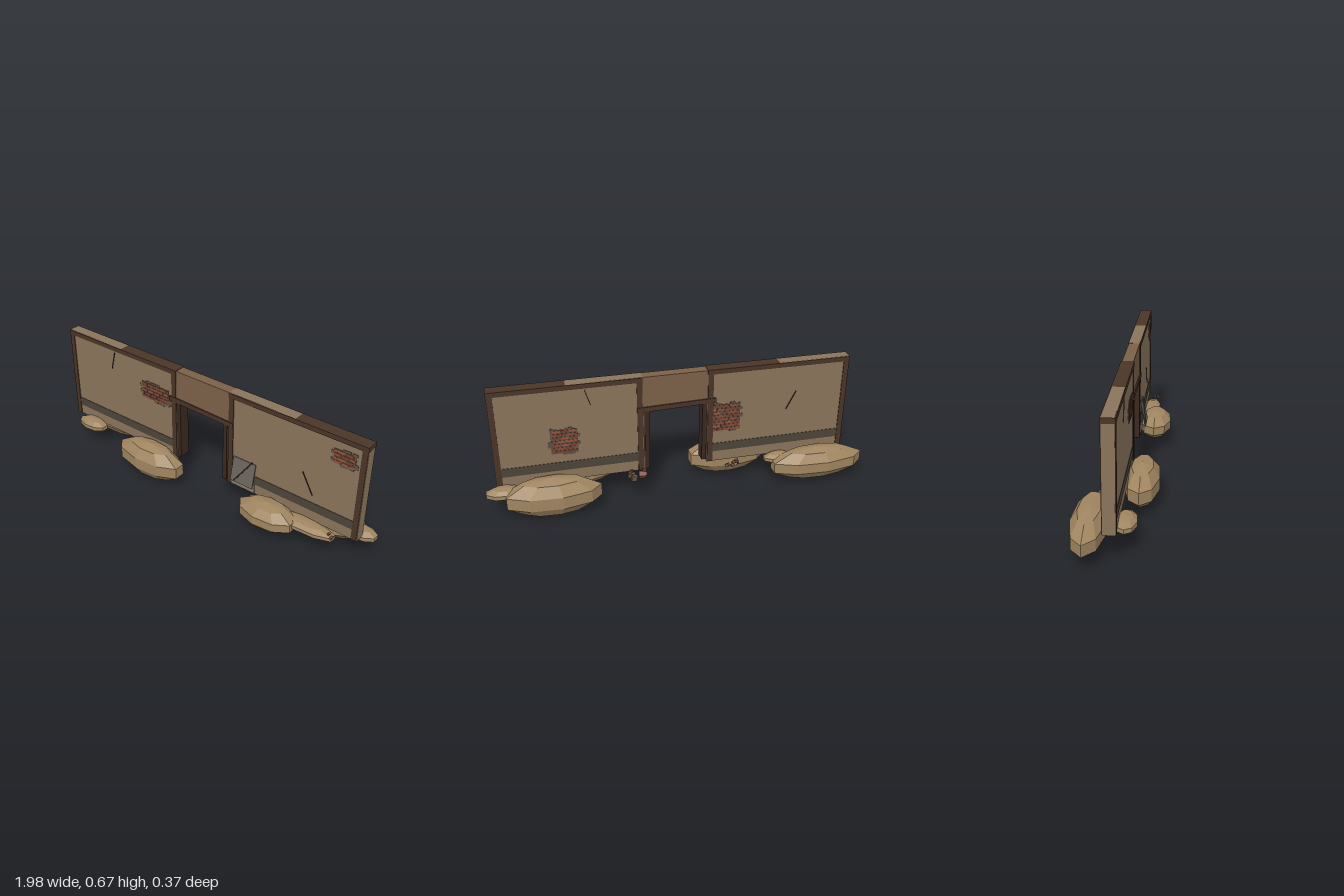
import * as THREE from 'three';

const mat = (color) => new THREE.MeshStandardMaterial({ color, flatShading: true });
const plaster = mat(0x8a745b), lintelMat = mat(0x7b6048), wood = mat(0x4b3528), darkWood = mat(0x3a2820);
const stain = mat(0x4c443a), sand = mat(0xa08560), mortar = mat(0x5c5044), crackMat = mat(0x2b211b);
const metal = mat(0x68635b), paleMetal = mat(0x85796a);
const brickMats = [mat(0x8c4a36), mat(0x7a4030), mat(0x96553e)];
const rubbleMats = [mat(0x6e5643), mat(0x7a4a38)];

let seed = 11;
const rand = () => (seed = (seed * 16807) % 2147483647) / 2147483647;

export function createModel() {
  const model = new THREE.Group();

  function add(name, geometry, material, x, y, z, parent = model) {
    const mesh = new THREE.Mesh(geometry, material);
    mesh.name = name;
    mesh.position.set(x, y, z);
    parent.add(mesh);
    return mesh;
  }
  // Box given by its limits in x and y, centred on z
  function slab(name, material, x0, x1, y0, y1, depth, z = 0, tilt = 0, parent = model) {
    const m = add(name, new THREE.BoxGeometry(x1 - x0, y1 - y0, depth), material, (x0 + x1) / 2, (y0 + y1) / 2, z, parent);
    m.rotation.z = tilt;
    return m;
  }

  // Plaster walls with timber framing and a dark base band
  for (const [side, x0, x1] of [['right', -0.9, -0.146], ['left', 0.186, 0.934]]) {
    slab(side + 'Wall', plaster, x0, x1, 0.142, 0.667, 0.056);
    slab(side + 'BaseBand', stain, x0 + 0.02, x1 - 0.02, 0.2, 0.248, 0.06);
    slab(side + 'TopBeam', wood, x0 - 0.001, x1 + 0.001, 0.642, 0.667, 0.065, 0, 0.004);
    slab(side + 'PostA', wood, x0 + 0.002, x0 + 0.03, 0.144, 0.655, 0.064, 0, 0.002);
    slab(side + 'PostB', wood, x1 - 0.03, x1 - 0.002, 0.144, 0.655, 0.064, 0, -0.003);
  }

  // Doorway
  slab('doorHeader', lintelMat, -0.146, 0.186, 0.5, 0.666, 0.056);
  slab('doorLintel', wood, -0.19, 0.215, 0.482, 0.508, 0.07, 0, -0.025);
  slab('doorJambRight', darkWood, -0.143, -0.119, 0.16, 0.49, 0.062, 0, 0.008);
  slab('doorJambLeft', darkWood, 0.155, 0.179, 0.15, 0.49, 0.062, 0, 0.012);
  slab('doorEdgeLeft', wood, 0.172, 0.19, 0.142, 0.5, 0.054);

  // Exposed brick in running bond, with a ragged outline
  function brickPatch(cx, cy, w, rows, side) {
    const patch = new THREE.Group();
    patch.name = 'brickPatch';
    patch.position.set(cx, cy, side * 0.0285);
    model.add(patch);
    const bw = 0.042, bh = 0.019, H = rows * bh;
    slab('mortar', mortar, -w / 2, w / 2, -H / 2, H / 2, 0.003, 0, 0, patch);
    for (let r = 0; r < rows; r++) {
      const y = -H / 2 + (r + 0.5) * bh;
      const start = -w / 2 - (r % 2 ? bw / 2 : 0);
      for (let x = start; x < w / 2 - 0.005; x += bw) {
        const a = Math.max(x + 0.003, -w / 2 + 0.003), b = Math.min(x + bw - 0.003, w / 2 - 0.003);
        if (b - a > 0.006)
          slab('brick', brickMats[Math.floor(rand() * 3)], a, b, y - 0.0065, y + 0.0065, 0.005, side * 0.001, 0, patch);
      }
    }
    // Loose mortar edges around the patch
    for (let i = 0; i < 10; i++) {
      const horizontal = i < 6;
      const s = i % 2 ? 1 : -1;
      const x = horizontal ? (rand() - 0.5) * w * 0.85 : s * w / 2;
      const y = horizontal ? s * H / 2 : (rand() - 0.5) * H * 0.7;
      slab('mortarEdge', mortar, x - 0.013, x + 0.013, y - 0.009, y + 0.009, 0.004, 0, (rand() - 0.5) * 0.3, patch);
    }
  }
  brickPatch(-0.288, 0.485, 0.185, 5, 1);
  brickPatch(0.825, 0.562, 0.115, 4, 1);
  brickPatch(0.585, 0.365, 0.135, 7, -1);
  brickPatch(-0.245, 0.395, 0.15, 8, -1);

  // Wall cracks
  for (const [x0, y0, x1, y1, z] of [
    [-0.57, 0.63, -0.595, 0.53, 0.029], [0.62, 0.4, 0.68, 0.29, 0.029],
    [0.47, 0.63, 0.445, 0.55, -0.029], [-0.62, 0.5, -0.57, 0.4, -0.029]]) {
    const m = add('crack', new THREE.BoxGeometry(0.005, Math.hypot(x1 - x0, y1 - y0), 0.004), crackMat, (x0 + x1) / 2, (y0 + y1) / 2, z);
    m.rotation.z = Math.atan2(x0 - x1, y1 - y0) + Math.PI;
  }

  // Metal sheet leaning beside the doorway
  const sheet = new THREE.Group();
  sheet.name = 'leaningSheet';
  sheet.position.set(0.292, 0.253, 0.044);
  sheet.rotation.x = -0.2;
  model.add(sheet);
  slab('sheetPanel', metal, -0.067, 0.067, -0.066, 0.066, 0.005, 0, 0, sheet);
  slab('sheetBar', crackMat, -0.004, 0.004, -0.075, 0.085, 0.006, 0.002, -0.6, sheet);
  slab('sheetFoot', paleMetal, 0.215, 0.355, 0.145, 0.2, 0.006, 0.03);

  // Faceted sand mounds: centre, then radii
  const dune = new THREE.SphereGeometry(1, 9, 5);
  [
    [-0.73, 0.11, -0.105, 0.27, 0.09, 0.088],
    [-0.285, 0.11, 0.088, 0.225, 0.1, 0.092],
    [-0.75, 0.131, 0.055, 0.1, 0.035, 0.056],
    [-0.53, 0.135, -0.06, 0.085, 0.03, 0.045],
    [0.48, 0.12, 0.097, 0.17, 0.073, 0.093],
    [0.665, 0.105, -0.098, 0.258, 0.105, 0.095],
    [0.66, 0.125, 0.06, 0.19, 0.03, 0.055],
    [0.9, 0.13, -0.06, 0.1, 0.034, 0.054],
  ].forEach(([x, y, z, a, b, c]) => add('sandMound', dune, sand, x, y, z).scale.set(a, b, c));

  // Rubble heaps
  const chunk = new THREE.BoxGeometry(1, 0.75, 0.85);
  for (const [cx, cz, spread, count, size] of [
    [0.23, -0.085, 0.09, 8, 0.03], [-0.265, -0.09, 0.07, 6, 0.018], [0.835, 0.075, 0.05, 7, 0.014]]) {
    for (let i = 0; i < count; i++) {
      const m = add('rubble', chunk, rubbleMats[i % 2], cx + (rand() - 0.5) * spread, 0.148 + rand() * 0.008, cz + (rand() - 0.5) * spread * 0.7);
      m.scale.setScalar(size * (0.6 + rand() * 0.5));
      m.rotation.set(rand() * 3, rand() * 3, rand() * 3);
    }
  }
  return model;
}
